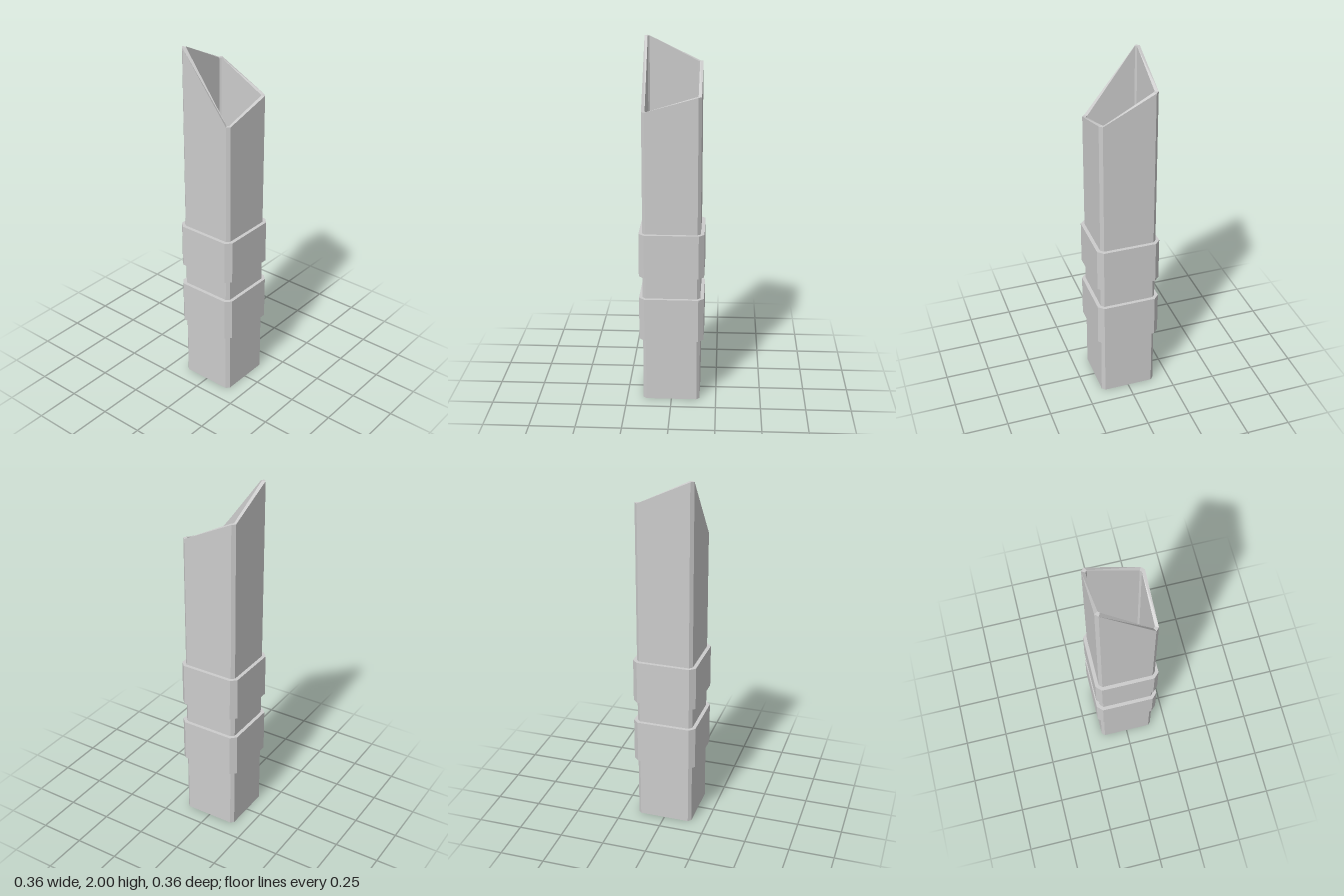
import * as THREE from 'three';

const material = new THREE.MeshStandardMaterial({ color: 0xcccccc, flatShading: true, side: THREE.DoubleSide });

// Chamfered square as [x, depth] corners, counter-clockwise, two per corner
function chamferedSquare(half, chamfer) {
  const k = half - chamfer;
  return [
    [half, k], [k, half],
    [-k, half], [-half, k],
    [-half, -k], [-k, -half],
    [k, -half], [half, -k],
  ];
}

// Loop of 3D points; heights holds one y for each of the four corners
function loop(half, chamfer, heights) {
  return chamferedSquare(half, chamfer).map(([x, d], i) =>
    new THREE.Vector3(x, heights[i >> 1], -d));
}

// Skin successive loops with flat quads
function skin(loops) {
  const points = [];
  for (let j = 0; j < loops.length - 1; j++) {
    const a = loops[j], b = loops[j + 1], n = a.length;
    for (let i = 0; i < n; i++) {
      const k = (i + 1) % n;
      points.push(a[i], a[k], b[k], a[i], b[k], b[i]);
    }
  }
  const geometry = new THREE.BufferGeometry().setFromPoints(points);
  geometry.computeVertexNormals();
  return geometry;
}

function addMesh(group, name, geometry) {
  const mesh = new THREE.Mesh(geometry, material);
  mesh.name = name;
  group.add(mesh);
  return mesh;
}

export function createModel() {
  const group = new THREE.Group();
  group.name = 'slantedSquareTube';

  // Hollow tube: back right, back left, front left, front right rim heights
  const rim = [1.866, 2, 1.645, 1.725];
  const base = [0, 0, 0, 0];
  const floor = [0.02, 0.02, 0.02, 0.02];
  addMesh(group, 'tube', skin([
    loop(0, 0, base),
    loop(0.158, 0.017, base),
    loop(0.158, 0.017, rim),
    loop(0.14, 0.009, rim),
    loop(0.14, 0.009, floor),
    loop(0, 0, floor),
  ]));

  // Two raised collars around the shaft
  const toVectors = (pts) => pts.map(([x, y]) => new THREE.Vector2(x, y));
  const shape = new THREE.Shape(toVectors(chamferedSquare(0.178, 0.03)));
  shape.holes.push(new THREE.Path(toVectors(chamferedSquare(0.156, 0.017))));
  const collar = new THREE.ExtrudeGeometry(shape, { depth: 0.245, bevelEnabled: false });
  collar.rotateX(-Math.PI / 2);
  [['lowerCollar', 0.365], ['upperCollar', 0.735]].forEach(([name, y]) => {
    addMesh(group, name, collar).position.y = y;
  });

  return group;
}
